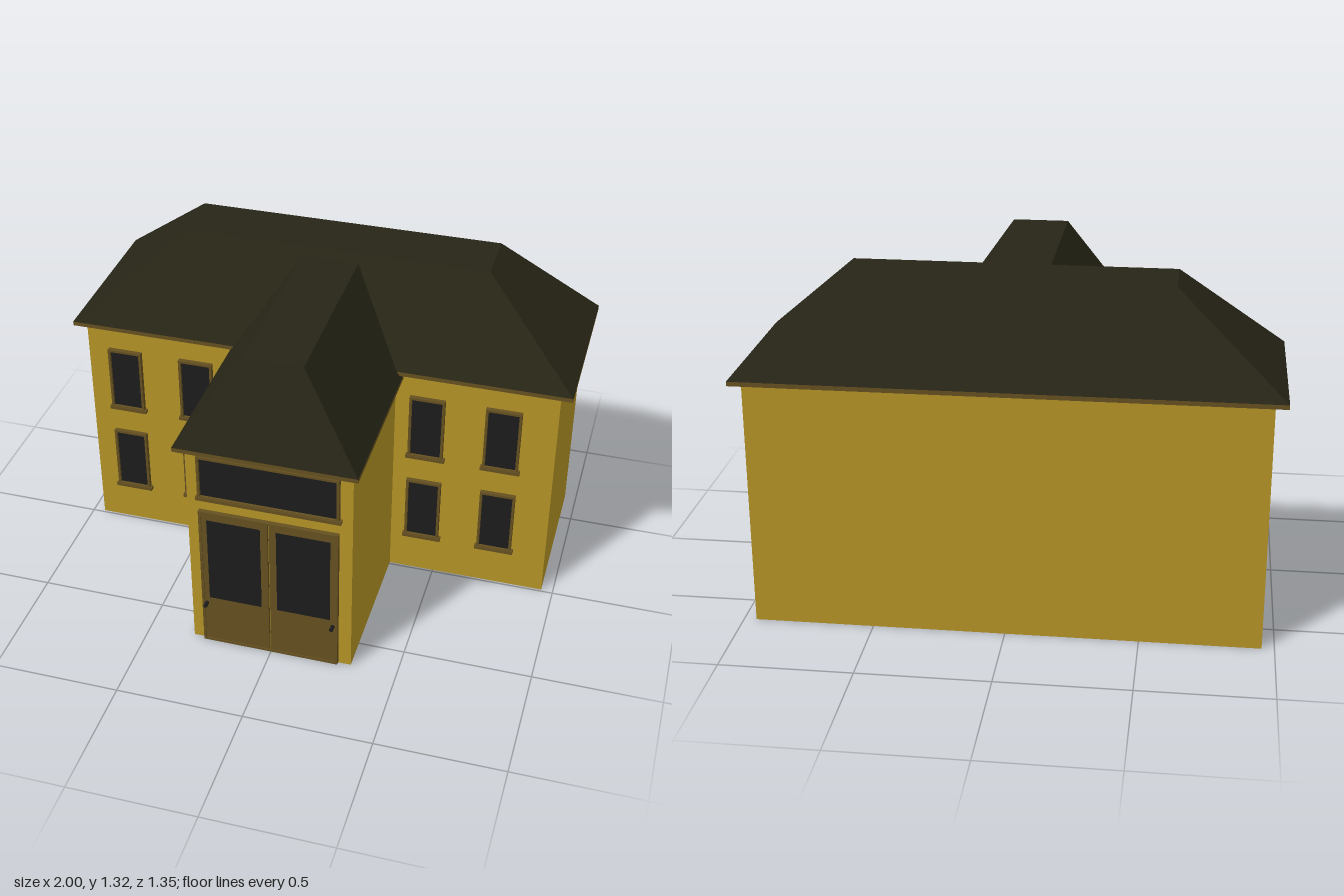
import * as THREE from 'three';

const mat = (color, side = THREE.FrontSide) =>
  new THREE.MeshStandardMaterial({ color, side, flatShading: true });

export function createModel() {
  const house = new THREE.Group();
  house.name = 'house';
  const wallMat = mat(0xb49326, THREE.DoubleSide);
  const roofMat = mat(0x272516);
  const trimMat = mat(0x655020);
  const glassMat = mat(0x1c1c1c);

  function add(parent, name, geometry, material) {
    const mesh = new THREE.Mesh(geometry, material);
    mesh.name = name;
    parent.add(mesh);
    return mesh;
  }

  // Box given by its limits on each axis
  function box(parent, name, x0, x1, y0, y1, z0, z1, material) {
    const m = add(parent, name, new THREE.BoxGeometry(x1 - x0, y1 - y0, z1 - z0), material);
    m.position.set((x0 + x1) / 2, (y0 + y1) / 2, (z0 + z1) / 2);
    return m;
  }

  function fromQuads(quads) {
    const pos = [];
    for (const [a, b, c, d] of quads) pos.push(...a, ...b, ...c, ...a, ...c, ...d);
    const g = new THREE.BufferGeometry();
    g.setAttribute('position', new THREE.Float32BufferAttribute(pos, 3));
    g.computeVertexNormals();
    return g;
  }

  // Thin upright walls along a floor path of [x, z], without floor
  function walls(name, path, y0, y1) {
    const quads = [];
    for (let i = 0; i + 1 < path.length; i++) {
      const [[ax, az], [bx, bz]] = [path[i], path[i + 1]];
      quads.push([[ax, y0, az], [bx, y0, bz], [bx, y1, bz], [ax, y1, az]]);
    }
    add(house, name, fromQuads(quads), wallMat);
  }

  // Hipped roof with a flat top, between two rectangles [x0, x1, z0, z1]
  function hipRoof(name, low, high, y0, y1) {
    const ring = ([x0, x1, z0, z1], y) => [[x0, y, z1], [x1, y, z1], [x1, y, z0], [x0, y, z0]];
    const a = ring(low, y0), b = ring(high, y1);
    const quads = a.map((p, i) => [p, a[(i + 1) % 4], b[(i + 1) % 4], b[i]]);
    quads.push(b, [...a].reverse());
    add(house, name, fromQuads(quads), roofMat);
  }

  // Rectangular trim ring
  function frame(parent, name, x0, x1, y0, y1, z0, z1, t) {
    const s = new THREE.Shape([[x0, y0], [x1, y0], [x1, y1], [x0, y1]].map(p => new THREE.Vector2(...p)));
    s.holes.push(new THREE.Path([[x0 + t, y0 + t], [x0 + t, y1 - t], [x1 - t, y1 - t], [x1 - t, y0 + t]]
      .map(p => new THREE.Vector2(...p))));
    const g = new THREE.ExtrudeGeometry(s, { depth: z1 - z0, bevelEnabled: false });
    add(parent, name, g, trimMat).position.z = z0;
  }

  // Framed window with a sill, on a wall at depth z
  function window(name, x0, x1, y0, y1, z) {
    const g = new THREE.Group();
    g.name = name;
    house.add(g);
    frame(g, 'windowFrame', x0, x1, y0, y1, z - 0.003, z + 0.018, 0.01);
    box(g, 'windowSill', x0 - 0.008, x1 + 0.008, y0 - 0.008, y0 + 0.006, z - 0.003, z + 0.021, trimMat);
    box(g, 'windowGlass', x0 + 0.008, x1 - 0.008, y0 + 0.004, y1 - 0.008, z + 0.001, z + 0.008, glassMat);
  }

  // Walls of the main block and the front wing
  const mainZ = -0.01, wingZ = 0.625, w = 0.318, W = 0.953;
  walls('mainWalls', [[w, mainZ], [W, mainZ], [W, -0.65], [-W, -0.65], [-W, mainZ], [-w, mainZ]], 0, 0.957);
  walls('wingWalls', [[-w, mainZ], [-w, wingZ], [w, wingZ], [w, mainZ]], 0, 0.928);
  walls('wallAboveWing', [[-w, mainZ], [w, mainZ]], 0.92, 0.957);

  // Eaves and roofs
  box(house, 'mainEaves', -1, 1, 0.953, 0.97, -0.675, 0.018, trimMat);
  hipRoof('mainRoof', [-1, 1, -0.675, 0.018], [-0.595, 0.618, -0.457, -0.23], 0.97, 1.316);
  box(house, 'wingEaves', -0.348, 0.346, 0.923, 0.94, -0.01, 0.675, trimMat);
  hipRoof('wingRoof', [-0.348, 0.346, -0.01, 0.675], [-0.113, 0.111, -0.25, 0.54], 0.94, 1.284);

  // Windows: two floors of four, and a wide one above the doors
  for (const x of [-0.797, -0.498, 0.447, 0.746])
    for (const y of [0.178, 0.575])
      window('mainWindow', x - 0.07, x + 0.07, y, y + 0.279, mainZ);
  window('wideWindow', -0.271, 0.27, 0.703, 0.893, wingZ);

  // Double doors with glass panes and knobs
  const doors = new THREE.Group();
  doors.name = 'doors';
  house.add(doors);
  frame(doors, 'doorFrame', -0.272, 0.268, 0.004, 0.641, wingZ - 0.003, wingZ + 0.018, 0.01);
  for (const s of [-1, 1]) {
    const c = -0.002 + s * 0.135;
    box(doors, 'doorLeaf', c - 0.132, c + 0.132, 0.006, 0.635, wingZ + 0.001, wingZ + 0.014, trimMat);
    box(doors, 'doorGlass', c - 0.104, c + 0.104, 0.225, 0.602, wingZ + 0.003, wingZ + 0.016, glassMat);
    const knob = add(doors, 'doorKnob', new THREE.CylinderGeometry(0.008, 0.008, 0.025, 12), glassMat);
    knob.rotation.x = Math.PI / 2;
    knob.position.set(-0.003 + s * 0.251, 0.194, wingZ + 0.025);
  }
  return house;
}
